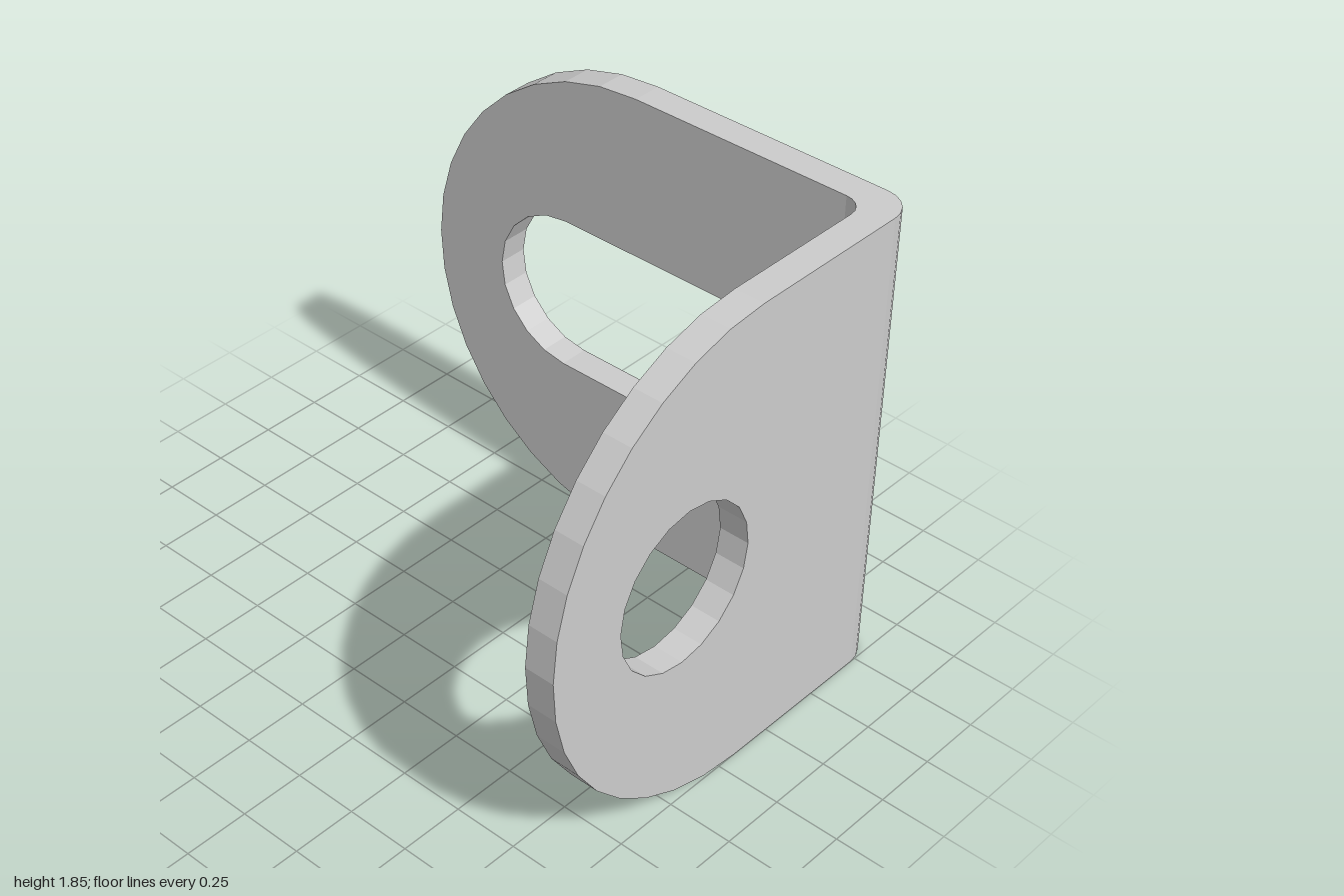
import * as THREE from 'three';

const HEIGHT = 1.85, MID = HEIGHT / 2, THICK = 0.115;
const HOLE_R = 0.308;      // radius of the round hole and of the slot ends
const INNER_R = 0.077;     // inside bend radius

// points along an arc, angles in degrees
function arc(cx, cy, r, from, to, segments) {
  return Array.from({ length: segments + 1 }, (_, i) => {
    const a = THREE.MathUtils.degToRad(from + (to - from) * i / segments);
    return new THREE.Vector2(cx + r * Math.cos(a), cy + r * Math.sin(a));
  });
}

function extrude(name, shape, depth) {
  const material = new THREE.MeshStandardMaterial({ color: 0xcccccc, flatShading: true });
  const geometry = new THREE.ExtrudeGeometry(shape, { depth, bevelEnabled: false });
  const mesh = new THREE.Mesh(geometry, material);
  mesh.name = name;
  return mesh;
}

// plate with a round end towards -x, a straight edge at +x and a hole
function plate(name, roundX, edgeX, holePoints) {
  const shape = new THREE.Shape([
    new THREE.Vector2(edgeX, 0),
    new THREE.Vector2(edgeX, HEIGHT),
    ...arc(roundX, MID, MID, 90, 270, 18),
  ]);
  shape.holes.push(new THREE.Path(holePoints));
  return extrude(name, shape, THICK);
}

export function createModel() {
  const group = new THREE.Group();
  group.name = 'angleBracket';

  // outer faces of the bracket, and where the flat plates meet the bend
  const outX = 0.845, outZ = 1;
  const inX = outX - THICK, inZ = outZ - THICK;
  const edgeX = inX - INNER_R, edgeZ = inZ - INNER_R;

  // front plate with a round hole
  const front = plate('frontPlate', 0.08, edgeX,
    arc(-0.23, MID, HOLE_R, 0, 360, 20).slice(0, -1));
  front.position.z = inZ;

  // side plate with a long slot, turned to run backwards
  const side = plate('sidePlate', -0.077, edgeZ, [
    ...arc(0.462, MID, HOLE_R, -90, 90, 10),
    ...arc(-0.382, MID, HOLE_R, 90, 270, 10),
  ]);
  side.rotation.y = -Math.PI / 2;
  side.position.x = outX;

  // rounded bend joining the plates, drawn from above and extruded upwards
  const bend = extrude('bend', new THREE.Shape([
    new THREE.Vector2(edgeX, -outZ),
    ...arc(inX, -inZ, THICK, -90, 0, 5),
    new THREE.Vector2(outX, -edgeZ),
    ...arc(edgeX, -edgeZ, INNER_R, 0, -90, 5),
  ]), HEIGHT);
  bend.rotation.x = -Math.PI / 2;

  group.add(front, side, bend);
  return group;
}
